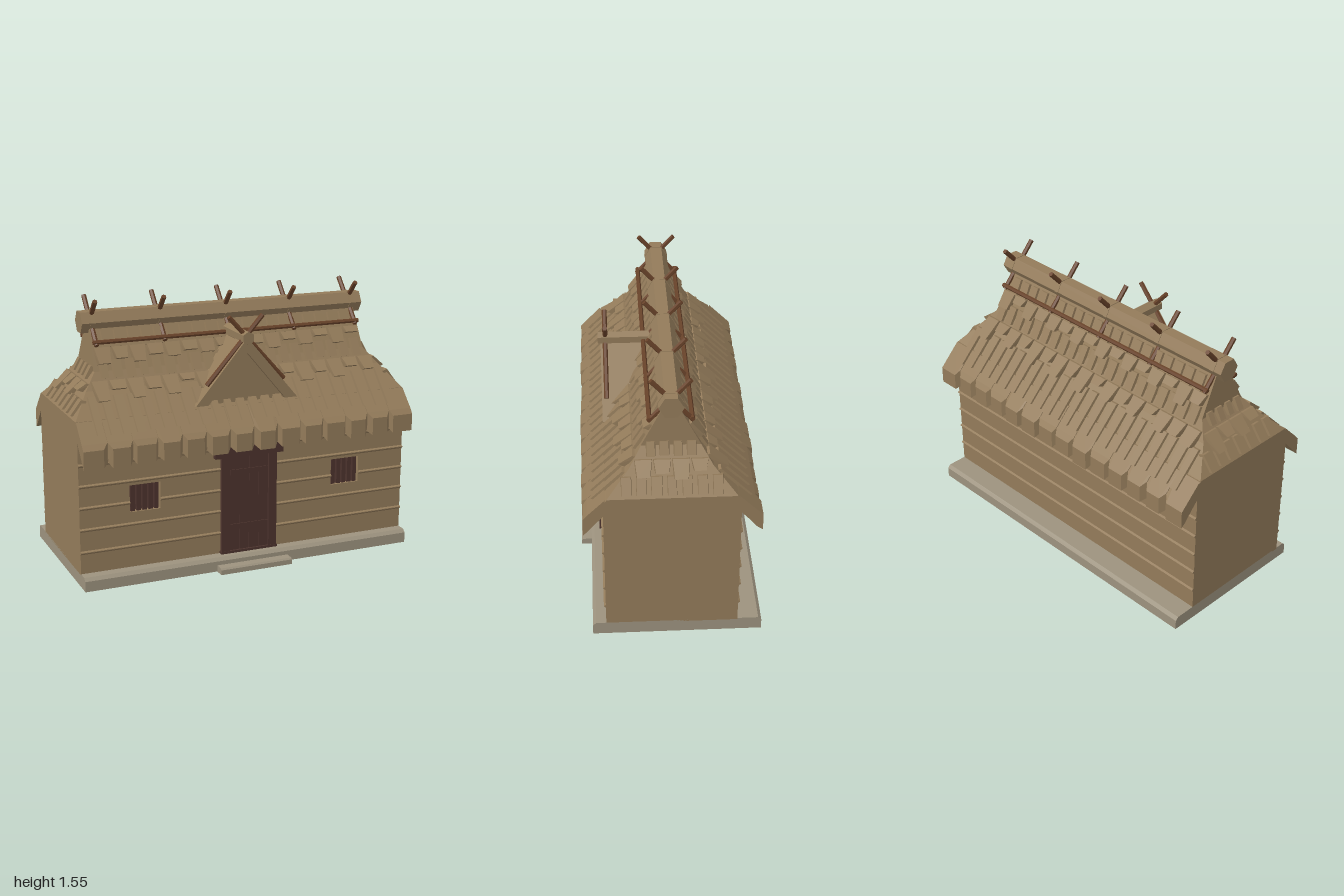
import * as THREE from 'three';
import { mergeGeometries } from 'three/addons/utils/BufferGeometryUtils.js';
import { ConvexGeometry } from 'three/addons/geometries/ConvexGeometry.js';

const material = (name, color) => {
  const m = new THREE.MeshStandardMaterial({ color });
  m.name = name;
  return m;
};

export function createModel() {
  const model = new THREE.Group();
  const thatch = material('thatch and clay', 0x937b5a);
  const stone = material('stone', 0x9c927e);
  const darkWood = material('dark wood', 0x4c332d);
  const poleWood = material('pole wood', 0x69432a);

  let seed = 7;
  const rand = () => (seed = (seed * 16807) % 2147483647) / 2147483647;

  const add = (name, geometry, mat) => {
    const mesh = new THREE.Mesh(geometry, mat);
    mesh.name = name;
    model.add(mesh);
    return mesh;
  };
  const hull = (points) => {
    const g = new ConvexGeometry(points.map((p) => new THREE.Vector3(...p)));
    return g;
  };
  // box given by its min and max corners
  const block = (x0, x1, y0, y1, z0, z1) => {
    const g = new THREE.BoxGeometry(x1 - x0, y1 - y0, z1 - z0);
    g.translate((x0 + x1) / 2, (y0 + y1) / 2, (z0 + z1) / 2);
    return g;
  };
  // convex (z, y) profile carried along x
  const alongX = (profile, x0, x1) =>
    hull(profile.flatMap(([z, y]) => [[x0, y, z], [x1, y, z]]));
  // faceted pole between two points
  const pole = (a, b, radius, sides = 6) => {
    const from = new THREE.Vector3(...a), to = new THREE.Vector3(...b);
    const dir = to.clone().sub(from);
    const g = new THREE.CylinderGeometry(radius, radius, dir.length(), sides).toNonIndexed();
    g.applyQuaternion(new THREE.Quaternion().setFromUnitVectors(new THREE.Vector3(0, 1, 0), dir.normalize()));
    g.translate(...from.add(to).multiplyScalar(0.5).toArray());
    g.computeVertexNormals();
    return g;
  };

  // stone base with chamfered top, and doorstep
  const baseRing = (y, c) => [-1, 1].flatMap((x) => [[x, y, 0.44 - c], [x, y, -0.5 + c]]);
  add('stoneBase', hull([...baseRing(0, 0), ...baseRing(0.06, 0), ...baseRing(0.078, 0.018)]), stone);
  add('doorstep', alongX([[0.43, 0], [0.5, 0], [0.5, 0.028], [0.491, 0.037], [0.43, 0.037]], -0.22, 0.22), stone);

  // walls, with window holes through the front layer
  add('wallBody', block(-1, 1, 0.07, 0.84, -0.365, 0.32), thatch);
  const rect = (T, x0, x1, y0, y1) => {
    const s = new T();
    s.moveTo(x0, y0); s.lineTo(x1, y0); s.lineTo(x1, y1); s.lineTo(x0, y1); s.closePath();
    return s;
  };
  const face = rect(THREE.Shape, -1, 1, 0.07, 0.84);
  for (const x of [-0.62, 0.62]) face.holes.push(rect(THREE.Path, x - 0.09, x + 0.09, 0.4, 0.555));
  add('frontWall', new THREE.ExtrudeGeometry(face, { depth: 0.045, bevelEnabled: false }).translate(0, 0, 0.32), thatch);

  // ridged wall boards, interrupted at the windows
  const boards = [];
  for (const y of [0.2, 0.33, 0.455, 0.58, 0.7]) {
    const spans = y === 0.455 ? [[-1, -0.71], [-0.53, 0.53], [0.71, 1]] : [[-1, 1]];
    const ridge = (s) => [[s * 0.36, y - 0.015], [s * 0.376, y], [s * 0.376, y + 0.004], [s * 0.36, y + 0.013]];
    for (const [a, b] of spans) boards.push(alongX(ridge(1), a, b));
    boards.push(alongX(ridge(-1), -1, 1));
  }
  add('wallBoards', mergeGeometries(boards), thatch);

  // barred windows
  for (const side of [-1, 1]) {
    const x = side * 0.62;
    const parts = [block(x - 0.09, x + 0.09, 0.4, 0.555, 0.318, 0.324)];
    for (let i = 0; i < 5; i++) {
      const cx = x - 0.07 + i * 0.035;
      parts.push(block(cx - 0.012, cx + 0.012, 0.4, 0.555, 0.33, 0.355));
    }
    add(side < 0 ? 'rightWindow' : 'leftWindow', mergeGeometries(parts), darkWood);
  }

  // door: planks, cross battens, posts, lintel and sill
  const door = [];
  for (let i = 0; i < 4; i++) {
    const x = -0.12 + i * 0.06;
    door.push(block(x + 0.002, x + 0.058, 0.09, 0.65, 0.36, 0.38));
  }
  door.push(block(-0.12, 0.12, 0.09, 0.65, 0.36, 0.377));
  for (const y of [0.235, 0.56]) door.push(block(-0.115, 0.115, y - 0.015, y + 0.015, 0.37, 0.386));
  for (const s of [-1, 1]) door.push(block(s * 0.145 - 0.025, s * 0.145 + 0.025, 0.078, 0.65, 0.36, 0.39));
  door.push(block(-0.21, 0.21, 0.65, 0.71, 0.36, 0.393), block(-0.175, 0.175, 0.076, 0.092, 0.36, 0.392));
  add('door', mergeGeometries(door), darkWood);

  // roof core: rectangles [y, half depth, half width] joined upwards
  const levels = [[0.83, 0.365, 1], [0.94, 0.345, 1], [1.07, 0.22, 0.9], [1.16, 0.158, 0.83], [1.38, 0.045, 0.82]];
  const core = [];
  for (let i = 0; i < levels.length - 1; i++) {
    const ring = ([y, z, x]) => [[x, y, z], [x, y, -z], [-x, y, -z], [-x, y, z]];
    core.push(hull([...ring(levels[i]), ...ring(levels[i + 1])]));
  }
  add('roofCore', mergeGeometries(core), thatch);

  // eaves: recessed strip plus bevelled thatch bundles
  const eaves = [];
  for (const s of [-1, 1]) {
    eaves.push(alongX([[0.34, 0.94], [0.45, 0.835], [0.452, 0.735], [0.365, 0.83]].map(([z, y]) => [s * z, y]), -1, 1));
    const count = 14, step = 2 / count;
    for (let i = 0; i < count; i++) {
      const x = -1 + step * (i + 0.5), inner = step * 0.49;
      const outer = 0.042 + rand() * 0.014, out = 0.472 + rand() * 0.012, low = 0.7 + rand() * 0.012;
      const pts = [];
      for (const e of [-1, 1]) {
        const edge = (i === 0 && e < 0) || (i === count - 1 && e > 0);
        const a = x + e * (edge ? step / 2 : inner), b = x + e * (edge ? step / 2 : outer);
        pts.push([a, 0.94, s * 0.352], [a, 0.83, s * 0.37], [a, 0.73, s * 0.452], [a, 0.84, s * 0.45],
          [b, 0.81, s * out], [b, low, s * out]);
      }
      eaves.push(hull(pts));
    }
  }
  add('eaves', mergeGeometries(eaves), thatch);

  // roof surface distance from the centre at height y, for long sides and ends
  const lerpAt = (table) => (y) => {
    let i = 0;
    while (i < table.length - 2 && y > table[i + 1][0]) i++;
    const [[y0, d0], [y1, d1]] = [table[i], table[i + 1]];
    return d0 + (d1 - d0) * (y - y0) / (y1 - y0);
  };
  const sideDepth = lerpAt([[0.81, 0.478], ...levels.slice(1).map(([y, z]) => [y, z])]);
  const endDepth = lerpAt(levels.slice(1).map(([y, , x]) => [y, x]));
  const faces = [
    { place: (u, y, d) => [u, y, d], depth: sideDepth, half: endDepth },
    { place: (u, y, d) => [-u, y, -d], depth: sideDepth, half: endDepth },
    { place: (u, y, d) => [d, y, -u], depth: endDepth, half: sideDepth, end: true },
    { place: (u, y, d) => [-d, y, u], depth: endDepth, half: sideDepth, end: true },
  ];
  // raised piece of thatch lying on a roof face
  const tile = ({ place, depth }, u, w0, w1, y0, y1, lift0, lift1) => {
    const pts = [];
    for (const [y, w, lift] of [[y0, w0, lift0], [y1, w1, lift1]])
      for (const e of [-1, 1]) {
        pts.push(place(u + e * w, y, depth(y) - 0.02));
        pts.push(place(u + e * (w - 0.006), y + lift * 0.6, depth(y) + lift * 0.8));
      }
    return hull(pts);
  };
  const strips = [], tabs = [];
  for (const f of faces) {
    const rows = f.end ? [[0.945, 1.03], [1.11, 1.18]] : [[0.865, 1.04], [1.115, 1.21], [1.27, 1.36]];
    for (const [y0, y1] of rows) {
      const half = Math.min(f.half(y0) - 0.05, f.end ? 0.28 : 0.92);
      const n = Math.round(2 * half / 0.078), step = 2 * half / n;
      for (let i = 0; i < n; i++) {
        const w = step * (0.33 + rand() * 0.1);
        strips.push(tile(f, -half + step * (i + 0.5), w, w, y0 + rand() * 0.008, y1, 0.014, 0.014));
      }
    }
    // overlapping ragged courses
    for (const y of f.end ? [1.025] : [1.035, 1.2]) {
      const half = f.half(y + 0.07) - 0.005;
      const n = Math.round(2 * half / 0.105), step = 2 * half / n;
      for (let i = 0; i < n; i++) {
        const low = y + (i % 2 ? 0.022 : -0.012) + (rand() - 0.5) * 0.03;
        tabs.push(tile(f, -half + step * (i + 0.5), step * (0.36 + rand() * 0.08), step * 0.5, low, y + 0.075, 0.034, 0.014));
      }
    }
  }
  add('thatchStrips', mergeGeometries(strips), thatch);
  add('thatchCourses', mergeGeometries(tabs), thatch);

  // front gable: recessed face, two sloping roof slabs, ridge beam
  const prism = (xy, z0, z1) => hull(xy.flatMap(([x, y]) => [[x, y, z0], [x, y, z1]]));
  add('gableFace', prism([[-0.27, 0.955], [0.27, 0.955], [0, 1.27]], 0.05, 0.33), thatch);
  for (const s of [-1, 1])
    add(s < 0 ? 'gableRoofRight' : 'gableRoofLeft',
      prism([[0, 1.32], [s * 0.31, 0.955], [s * 0.235, 0.955], [0, 1.235]], 0.04, 0.352), thatch);
  add('gableBeam', pole([0, 1.32, 0.03], [0, 1.32, 0.367], 0.038), thatch);

  // ridge beam with bindings
  const ridge = [pole([-0.865, 1.412, 0], [0.865, 1.412, 0], 0.067)];
  const poles = [];
  for (let i = -2; i <= 2; i++) {
    const x = i * 0.4;
    ridge.push(pole([x - 0.014, 1.412, 0], [x + 0.014, 1.412, 0], 0.07));
    for (const s of [-1, 1]) poles.push(pole([x, 1.54, s * 0.105], [x, 1.295, -s * 0.118], 0.014));
  }
  add('ridgeBeam', mergeGeometries(ridge), thatch);
  add('crossedRidgePoles', mergeGeometries(poles), poleWood);
  for (const s of [-1, 1])
    add(s < 0 ? 'backRail' : 'frontRail', pole([-0.82, 1.313, s * 0.112], [0.82, 1.313, s * 0.112], 0.013), poleWood);

  // crossed poles on the front gable
  add('crossedGablePoles', mergeGeometries([-1, 1].map((s) =>
    pole([s * 0.235, 1.065, 0.326], [-s * 0.102, 1.44, 0.326], 0.014))), poleWood);

  return model;
}
